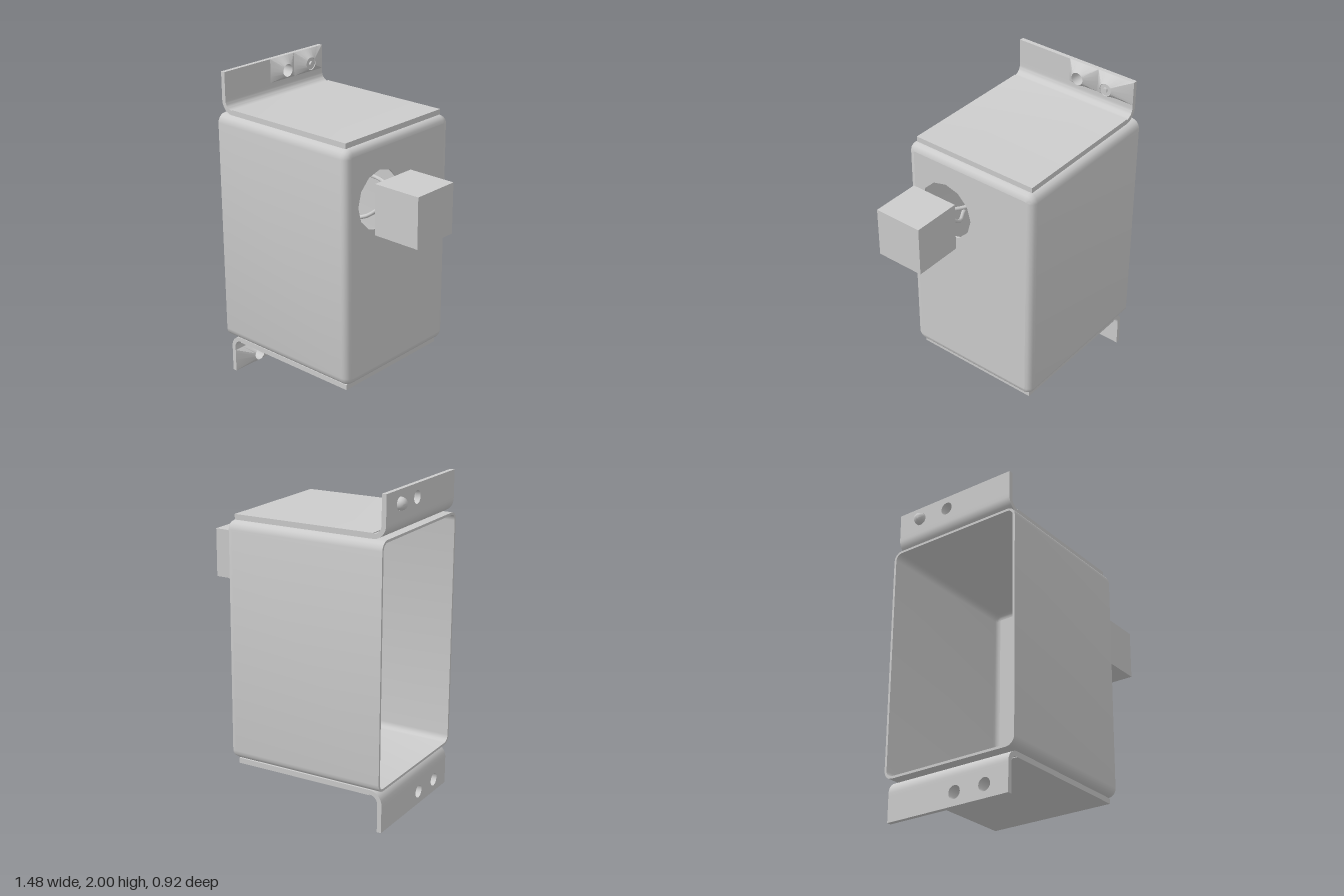
import * as THREE from 'three';
import { toCreasedNormals } from 'three/addons/utils/BufferGeometryUtils.js';

const grey = new THREE.MeshStandardMaterial({ color: 0xcccccc, side: THREE.DoubleSide });

function part(name, geometry, parent, crease = 0.6) {
  const mesh = new THREE.Mesh(toCreasedNormals(geometry, crease), grey);
  mesh.name = name;
  parent.add(mesh);
  return mesh;
}

// Joins closed loops of (u, v) points, each placed at its own x; u = -z, v = y
function loft(sections) {
  const n = sections[0].loop.length;
  const positions = [];
  const index = [];
  for (const { x, loop } of sections) for (const p of loop) positions.push(x, p.y, -p.x);
  for (let i = 0; i < sections.length - 1; i++) {
    for (let j = 0; j < n; j++) {
      const k = (j + 1) % n;
      const a = i * n + j, b = i * n + k, c = b + n, d = a + n;
      index.push(a, b, c, a, c, d);
    }
  }
  const g = new THREE.BufferGeometry();
  g.setAttribute('position', new THREE.Float32BufferAttribute(positions, 3));
  g.setIndex(index);
  return g;
}

// Extrudes a (u, v) shape along +x from the given x
function plateX(shape, x, depth) {
  return new THREE.ExtrudeGeometry(shape, { depth, bevelEnabled: false })
    .rotateY(Math.PI / 2).translate(x, 0, 0);
}

function circle(u, v, r, angles) {
  return angles.map(a => new THREE.Vector2(u + r * Math.cos(a), v + r * Math.sin(a)));
}

const steps = n => Array.from({ length: n }, (_, i) => i / n * Math.PI * 2);

// Rounded outline of the housing, inset by d
function housingLoop(d) {
  const hw = 0.458, y0 = 0.26, y1 = 1.745, r = 0.055, seg = 4;
  const corners = [[hw - r, y1 - r], [r - hw, y1 - r], [r - hw, y0 + r], [hw - r, y0 + r]];
  return corners.flatMap(([u, v], q) => Array.from({ length: seg + 1 }, (_, i) => {
    const a = (q + i / seg) * Math.PI / 2;
    return new THREE.Vector2(u + (r - d) * Math.cos(a), v + (r - d) * Math.sin(a));
  }));
}

function addHousing(parent) {
  const wall = 0.015, R = 0.045, xr = 0.285, seg = 4;
  const edge = (r, base) => Array.from({ length: seg + 1 }, (_, i) => {
    const a = i / seg * Math.PI / 2;
    return { x: xr + r * Math.sin(a), loop: housingLoop(base + r * (1 - Math.cos(a))) };
  });
  // Walls: inside from the closed end to the opening, then back along the outside
  part('housingWalls', loft([
    ...edge(R - wall, wall).reverse(),
    { x: -0.70, loop: housingLoop(wall) },
    { x: -0.70, loop: housingLoop(0) },
    ...edge(R, 0),
  ]), parent);

  // End wall with the cable opening
  const shape = new THREE.Shape(housingLoop(R));
  shape.holes.push(new THREE.Path(circle(-0.175, 1.385, 0.183, steps(12))));
  part('housingEndWall', plateX(shape, xr + R - wall, wall), parent);
}

const T = 0.028, HALF = 0.42, HOLE_R = 0.04, HOLE_Y = 1.92, FLANGE_Y = 1.85, TOP = 2;
const bosses = [
  { z: -0.26, z0: -0.42, z1: -0.167 },
  { z: -0.055, z0: -0.167, z1: 0.04 },
];

// Raised collar: rectangular foot narrowing to a round through-hole
function bossGeometry({ z, z0, z1 }) {
  const c = new THREE.Vector2(-z, HOLE_Y);
  const lo = new THREE.Vector2(-z1, FLANGE_Y), hi = new THREE.Vector2(-z0, TOP);
  const corners = [[lo.x, lo.y], [hi.x, lo.y], [lo.x, hi.y], [hi.x, hi.y]]
    .map(([u, v]) => (Math.atan2(v - c.y, u - c.x) + Math.PI * 2) % (Math.PI * 2));
  const angles = [...steps(20), ...corners].sort((a, b) => a - b);
  const foot = angles.map(a => {
    const du = Math.cos(a), dv = Math.sin(a);
    const tu = (du > 0 ? hi.x - c.x : lo.x - c.x) / (du || 1e-9);
    const tv = (dv > 0 ? hi.y - c.y : lo.y - c.y) / (dv || 1e-9);
    const t = Math.min(Math.abs(tu), Math.abs(tv));
    return new THREE.Vector2(c.x + du * t, c.y + dv * t);
  });
  const ring = circle(c.x, c.y, HOLE_R, angles);
  return loft([
    { x: -0.70 + T, loop: foot },
    { x: -0.615, loop: ring },
    { x: -0.70, loop: ring },
  ]);
}

function makeBracket(name) {
  const bracket = new THREE.Group();
  bracket.name = name;

  // Flat plate and bend
  const y0 = 1.745, r = 0.08, cx = -0.70 + r, cy = y0 + r;
  const s = new THREE.Shape();
  s.moveTo(0.29, y0);
  s.lineTo(0.29, y0 + T + 0.005);
  s.lineTo(cx, y0 + T + 0.005);
  s.absarc(cx, cy, r - T, -Math.PI / 2, -Math.PI, true);
  s.lineTo(-0.70 + T, FLANGE_Y);
  s.lineTo(-0.70, FLANGE_Y);
  s.absarc(cx, cy, r, Math.PI, Math.PI * 1.5, false);
  part('bracketPlate', new THREE.ExtrudeGeometry(s, {
    depth: HALF * 2, bevelEnabled: false, curveSegments: 5,
  }).translate(0, 0, -HALF), bracket);

  // Upright flange with two holes
  const f = new THREE.Shape([[-HALF, FLANGE_Y], [HALF, FLANGE_Y], [HALF, TOP], [-HALF, TOP]]
    .map(p => new THREE.Vector2(...p)));
  for (const b of bosses) f.holes.push(new THREE.Path(circle(-b.z, HOLE_Y, HOLE_R, steps(20))));
  part('bracketFlange', plateX(f, -0.70, T), bracket);
  for (const b of bosses) part('holeCollar', bossGeometry(b), bracket);
  return bracket;
}

export function createModel() {
  const model = new THREE.Group();
  model.name = 'wallBox';
  addHousing(model);

  // The lower bracket is the upper one turned half round the x axis
  model.add(makeBracket('upperBracket'));
  const lower = makeBracket('lowerBracket');
  lower.rotation.x = Math.PI;
  lower.position.y = 2;
  model.add(lower);

  // Round-headed screw in the outer upper hole
  const profile = [[0, 0.605], [0.015, 0.605], [0.015, 0.618], [0.038, 0.618], [0.038, 0.705]];
  for (let i = 1; i <= 5; i++) {
    const a = i / 5 * Math.PI / 2;
    profile.push([0.038 * Math.cos(a), 0.705 + 0.038 * Math.sin(a)]);
  }
  part('screw', new THREE.LatheGeometry(profile.map(p => new THREE.Vector2(...p)), 20)
    .rotateZ(Math.PI / 2).translate(0, HOLE_Y, bosses[0].z), model);

  // Connector block and its two wires
  part('connector', new THREE.BoxGeometry(0.31, 0.31, 0.31).translate(0.585, 1.395, 0.175), model);
  const wires = [
    [[0.45, 1.46, 0.16], [0.33, 1.435, 0.09], [0.22, 1.44, 0.035], [0.08, 1.45, 0.03]],
    [[0.45, 1.42, 0.22], [0.33, 1.335, 0.15], [0.22, 1.25, 0.17], [0.1, 1.225, 0.24]],
  ];
  for (const w of wires) {
    const curve = new THREE.CatmullRomCurve3(w.map(p => new THREE.Vector3(...p)));
    part('wire', new THREE.TubeGeometry(curve, 12, 0.012, 8), model, 1);
  }
  return model;
}
